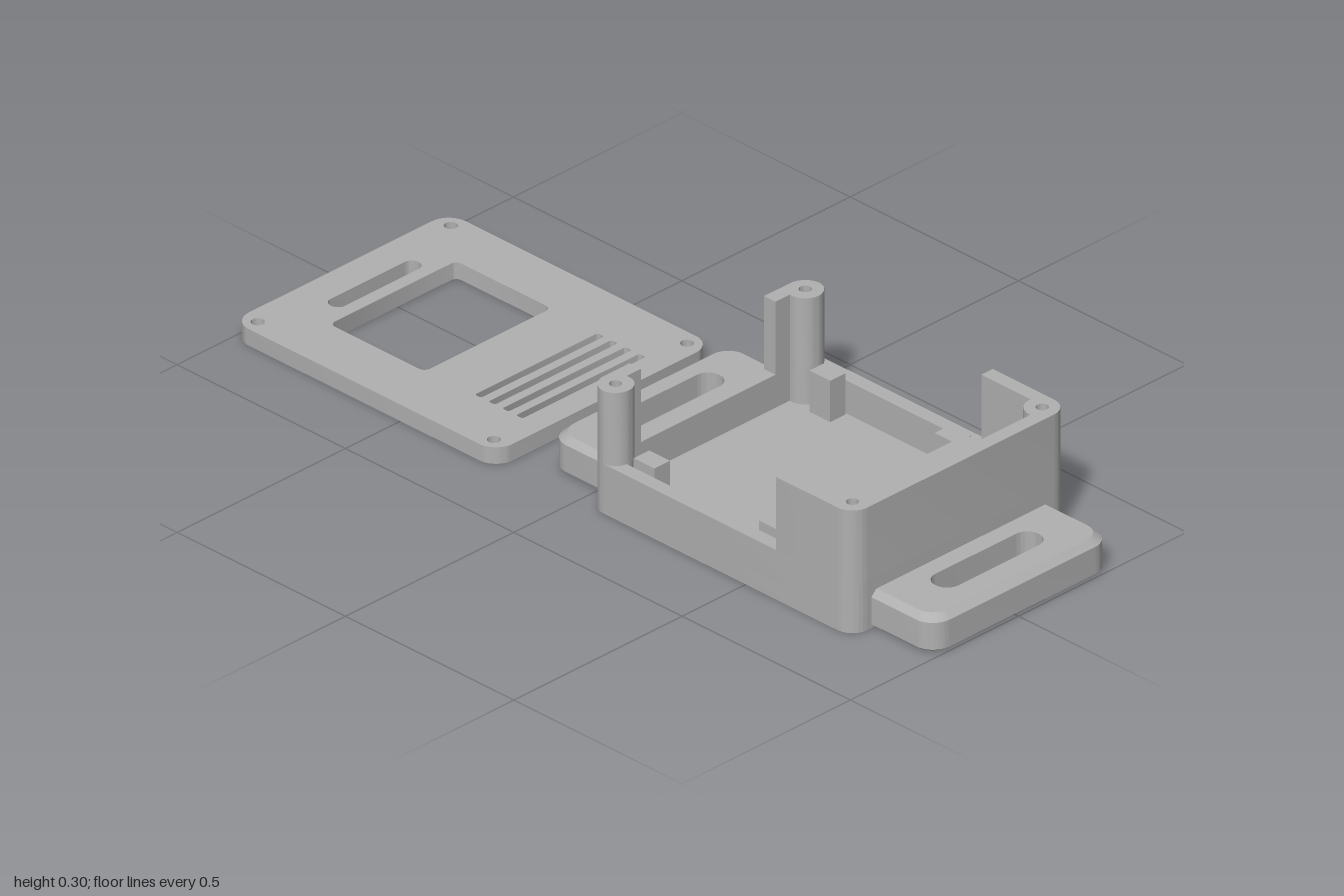
import * as THREE from 'three';
import { toCreasedNormals } from 'three/addons/utils/BufferGeometryUtils.js';

const W = 0.322, D = 0.392;        // half width and half depth of case and lid
const WALL = 0.034, POST = 0.04;   // wall thickness, screw post radius
const FLOOR = 0.04, LOW = 0.12, TALL = 0.297;

// Rounded rectangle centred on (cx, cz); r rounds the +z corners, r2 the -z corners
function roundRect(Type, cx, cz, hw, hd, r, r2 = r) {
  const p = new Type();
  const a = Math.PI / 2;
  p.moveTo(cx - hw, cz + hd - r);
  p.lineTo(cx - hw, cz - hd + r2);
  if (r2) p.absarc(cx - hw + r2, cz - hd + r2, r2, 2 * a, 3 * a);
  p.lineTo(cx + hw - r2, cz - hd);
  if (r2) p.absarc(cx + hw - r2, cz - hd + r2, r2, 3 * a, 4 * a);
  p.lineTo(cx + hw, cz + hd - r);
  p.absarc(cx + hw - r, cz + hd - r, r, 0, a);
  p.lineTo(cx - hw + r, cz + hd);
  p.absarc(cx - hw + r, cz + hd - r, r, a, 2 * a);
  return p;
}

const circle = (x, z, r) => new THREE.Path().absarc(x, z, r, 0, Math.PI * 2);

// Extrude a plan (x, z) upwards from y0 to y1
function slab(shape, y0, y1) {
  const g = new THREE.ExtrudeGeometry(shape, { depth: y1 - y0, bevelEnabled: false, curveSegments: 10 });
  g.rotateX(Math.PI / 2).translate(0, y1, 0);
  return toCreasedNormals(g, 0.5);
}

// Arc as points measured inwards from a case corner
function arc(c, r, from, to, n = 12) {
  return Array.from({ length: n + 1 }, (_, i) => {
    const t = from + (to - from) * i / n;
    return [c + r * Math.cos(t), c + r * Math.sin(t)];
  });
}
const place = (sx, sz, pts) => pts.map(([u, v]) => new THREE.Vector2(sx * (W - u), sz * (D - v)));

const dip = Math.asin((POST - WALL) / POST);
const OUTER = arc(0.045, 0.045, Math.PI, Math.PI * 1.5);            // side to end
const INNER = arc(POST, POST, Math.PI / 2 + dip, -dip);             // post bulge, side to end
const ROUND = arc(POST, POST, Math.PI, -dip, 18);                   // free standing post
const screwHole = (sx, sz) => circle(sx * (W - POST), sz * (D - POST), 0.014);

// Strap lug: a slotted plate with chamfered outer edges
function lugGeometry(slotZ) {
  const hw = 0.266, hd = 0.1025;
  const shape = roundRect(THREE.Shape, 0, 0, hw, hd, 0.05, 0);
  shape.holes.push(roundRect(THREE.Path, 0, slotZ, 0.153, 0.034, 0.033));
  const g = new THREE.ExtrudeGeometry(shape, { depth: 3, steps: 3, bevelEnabled: false, curveSegments: 8 });
  g.rotateX(Math.PI / 2).translate(0, 3, 0);
  const levels = [0, 0.01, 0.075, 0.09], inset = [0.012, 0, 0, 0.015];
  const p = g.attributes.position;
  for (let i = 0; i < p.count; i++) {
    const k = Math.round(p.getY(i)), x = p.getX(i), z = p.getZ(i);
    const inSlot = Math.abs(x) < 0.16 && Math.abs(z - slotZ) < 0.04;
    const s = inSlot ? 0 : inset[k];
    p.setXYZ(i, x * (1 - s / hw), levels[k], z * (1 - s / hd));
  }
  return toCreasedNormals(g, 0.4);
}

export function createModel() {
  const grey = new THREE.MeshStandardMaterial({ color: 0xb0b0b0 });
  grey.name = 'grey plastic';
  const model = new THREE.Group();
  model.name = 'enclosure';
  const add = (parent, name, geometry) => {
    const m = new THREE.Mesh(geometry, grey);
    m.name = name;
    parent.add(m);
    return m;
  };

  // Case
  const box = new THREE.Group();
  box.name = 'case';
  box.position.set(0.0115, 0, 0.425);
  model.add(box);
  add(box, 'floor', slab(roundRect(THREE.Shape, 0, 0, W, D, 0.045), 0, FLOOR));

  // Low wall all round, with the feet of the screw posts
  const low = roundRect(THREE.Shape, 0, 0, W, D, 0.045);
  low.holes.push(new THREE.Path([
    ...place(1, 1, INNER), ...place(-1, 1, INNER).reverse(),
    ...place(-1, -1, INNER), ...place(1, -1, INNER).reverse(),
  ]));
  for (const sx of [-1, 1]) for (const sz of [-1, 1]) low.holes.push(screwHole(sx, sz));
  add(box, 'lowWall', slab(low, FLOOR, LOW));

  // Tall front wall with its returns and posts
  const cut = D - 0.165;
  const front = new THREE.Shape([
    ...place(1, 1, [[0, cut], ...OUTER]),
    ...place(-1, 1, [[0, cut], ...OUTER]).reverse(),
    ...place(-1, 1, [[WALL, cut], ...INNER]),
    ...place(1, 1, [[WALL, cut], ...INNER]).reverse(),
  ]);
  front.holes.push(screwHole(1, 1), screwHole(-1, 1));
  add(box, 'frontWall', slab(front, LOW, TALL));

  // Rear posts, each with a short piece of back wall
  for (const sx of [-1, 1]) {
    const post = new THREE.Shape(place(sx, -1, [
      [0, 0.045], ...ROUND.slice(1), [0.122, WALL], [0.122, 0], ...OUTER.slice(1).reverse(),
    ]));
    post.holes.push(screwHole(sx, -1));
    add(box, sx > 0 ? 'leftRearPost' : 'rightRearPost', slab(post, LOW, TALL));
  }

  // Board supports on the side walls
  for (const sx of [-1, 1]) for (const z of [-0.265, 0.107]) {
    const g = new THREE.BoxGeometry(0.046, 0.1, 0.062);
    add(box, 'boardSupport', g).position.set(sx * 0.261, FLOOR + 0.05, z);
  }

  // Raised block behind the front wall
  add(box, 'innerBlock', new THREE.BoxGeometry(0.412, 0.16, 0.133)).position.set(-0.001, FLOOR + 0.08, 0.268);

  // Strap lugs at both ends
  add(model, 'frontLug', lugGeometry(-0.0025)).position.set(0.0115, 0, 0.8975);
  const rear = add(model, 'rearLug', lugGeometry(0.0155));
  rear.position.set(0.0115, 0, -0.0375);
  rear.rotation.y = Math.PI;

  // Lid lying behind the case
  const lid = roundRect(THREE.Shape, 0, 0, W, D, 0.05);
  for (const sx of [-1, 1]) for (const sz of [-1, 1]) lid.holes.push(circle(sx * 0.287, sz * 0.351, 0.015));
  lid.holes.push(roundRect(THREE.Path, 0, -0.29, 0.13, 0.021, 0.02));
  lid.holes.push(roundRect(THREE.Path, 0.001, -0.096, 0.188, 0.141, 0.016));
  for (let i = 0; i < 4; i++) {
    lid.holes.push(roundRect(THREE.Path, 0.001, 0.198 + i * 0.041, 0.183, 0.0095, 0.006));
  }
  add(model, 'lid', slab(lid, 0, 0.04)).position.set(-0.0145, 0, -0.608);
  return model;
}
